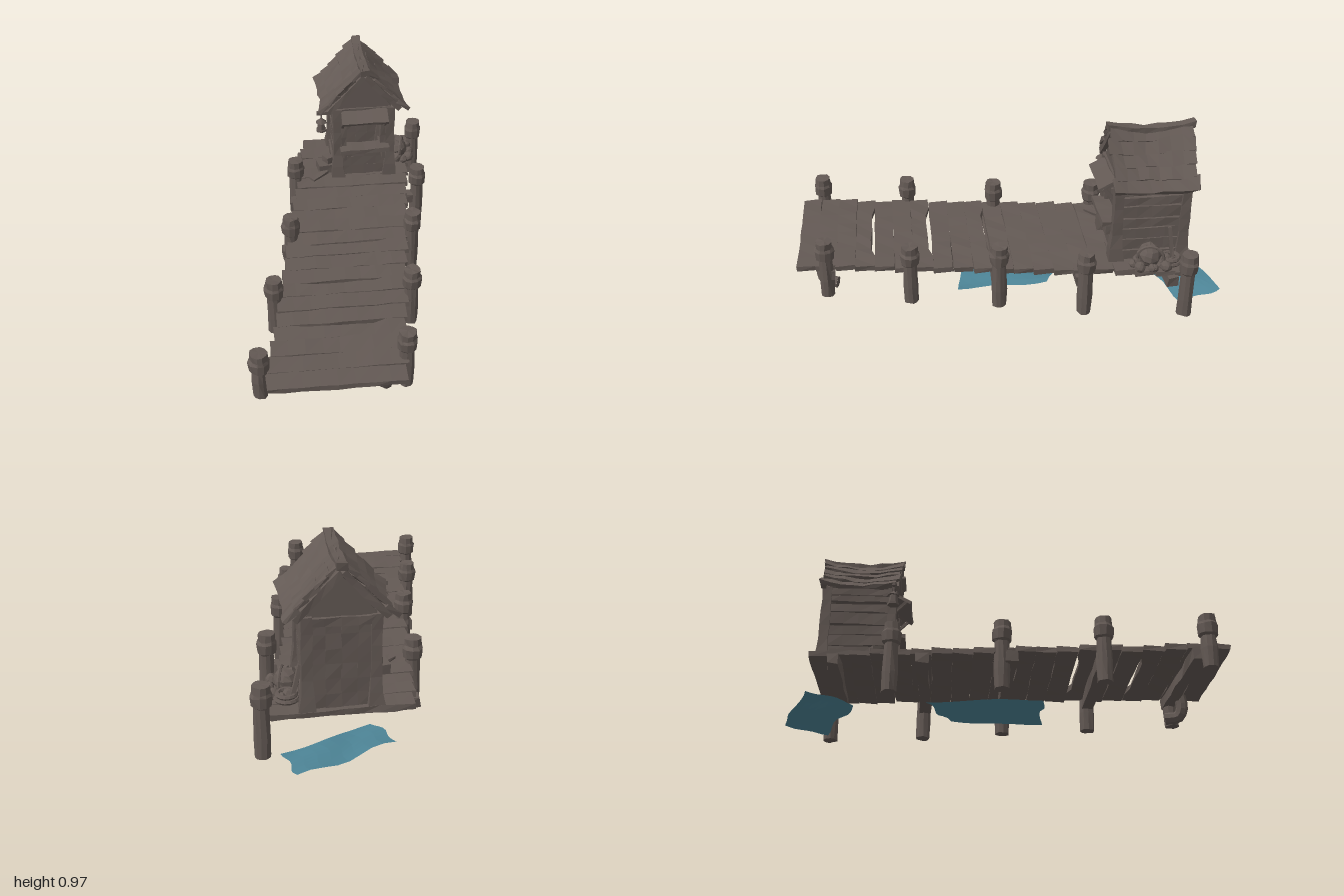
import * as THREE from 'three';

const wood = new THREE.MeshStandardMaterial({ color: 0x635954, flatShading: true });
wood.name = 'weathered wood';
const water = new THREE.MeshStandardMaterial({ color: 0x4d8496, flatShading: true, side: THREE.DoubleSide });
water.name = 'teal water';

const YAW = -0.44; // planks and hut share this heading
let seed = 1;
const hash = (x, y, z) => {
  const v = Math.sin(x * 127.1 + y * 311.7 + z * 74.7 + seed * 19.3) * 43758.5453;
  return v - Math.floor(v) - 0.5;
};
const rand = () => (seed++, hash(1, 2, 3));

// Move vertices by a rule; coincident corners stay together
function warp(geo, rule) {
  const p = geo.attributes.position;
  const v = new THREE.Vector3();
  for (let i = 0; i < p.count; i++) {
    rule(v.fromBufferAttribute(p, i));
    p.setXYZ(i, v.x, v.y, v.z);
  }
  geo.computeVertexNormals();
  return geo;
}
function rough(geo, amount) {
  seed++;
  return warp(geo, (v) => {
    const [x, y, z] = [v.x, v.y, v.z].map((n) => Math.round(n * 1000) / 1000 + 0);
    v.x += hash(x, y, z) * amount;
    v.y += hash(y + 3, z, x) * amount;
    v.z += hash(z + 7, x, y) * amount;
  });
}
function add(parent, name, geo, pos, rot = [0, 0, 0], mat = wood) {
  const m = new THREE.Mesh(geo, mat);
  m.name = name;
  m.position.set(...pos);
  m.rotation.set(...rot);
  parent.add(m);
  return m;
}
function board(parent, name, size, pos, rot, amount = 0.006) {
  const seg = size.map((s) => Math.max(1, Math.min(6, Math.round(s / 0.08))));
  return add(parent, name, rough(new THREE.BoxGeometry(...size, ...seg), amount), pos, rot);
}

// Point on the skewed deck: s runs front to back, t from right to left side
const deckPoint = (s, t) => [-0.62 + 1.2 * s + 0.6 * t, 0.855 - 1.715 * s + 0.285 * t];
const deckTop = (s) => 0.2 + 0.062 * s;

function buildDeck(root) {
  const deck = new THREE.Group();
  deck.name = 'deck';
  root.add(deck);
  const count = 20;
  for (let i = 0; i < count; i++) {
    const s = (i + 0.5) / count;
    const [x, z] = deckPoint(s, 0);
    const gap = [3, 6, 9].includes(i);
    const geo = rough(new THREE.BoxGeometry(0.665 + rand() * 0.03, 0.028, 0.104, 8, 1, 1), 0.007);
    if (gap) warp(geo, (v) => { if (v.z < 0 && Math.abs(v.x) < 0.2) v.z += 0.02; });
    add(deck, 'deckPlank', geo, [x, deckTop(s) - 0.014 + rand() * 0.008, z], [0.03, YAW + rand() * 0.02, rand() * 0.015]);
  }
  // Cross beams under the planks
  for (const s of [0.08, 0.29, 0.51, 0.72, 0.94]) {
    const [x, z] = deckPoint(s, 0);
    board(deck, 'crossBeam', [0.72, 0.055, 0.06], [x, deckTop(s) - 0.055, z], [0, YAW + rand() * 0.03, 0], 0.012);
  }
}

function buildPosts(root) {
  // x, z, bottom, top
  const posts = [
    [-0.89, 0.6, 0.065, 0.335], [-0.59, 0.2, 0.02, 0.355], [-0.27, -0.19, 0.02, 0.38], [0.03, -0.66, 0.02, 0.385],
    [-0.23, 0.87, 0.02, 0.355], [0.05, 0.51, 0.02, 0.36], [0.32, 0.13, 0.02, 0.385], [0.6, -0.22, 0.02, 0.385], [0.88, -0.66, 0.02, 0.385],
  ];
  for (const [x, z, low, high] of posts) {
    const profile = [[0, low], [0.038, low], [0.04, low + 0.1], [0.036, high - 0.11], [0.048, high - 0.1],
      [0.052, high - 0.05], [0.044, high - 0.035], [0.042, high], [0, high]];
    const geo = new THREE.LatheGeometry(profile.map(([r, y]) => new THREE.Vector2(r, y)), 10);
    add(root, 'mooringPost', rough(geo, 0.006), [x, 0, z]);
  }
  // Bent log under the front corner
  const bend = new THREE.CatmullRomCurve3([[-0.35, 0.15, 0.84], [-0.35, 0.08, 0.85], [-0.325, 0.04, 0.84], [-0.28, 0.035, 0.79]]
    .map((p) => new THREE.Vector3(...p)));
  add(root, 'bentLog', new THREE.TubeGeometry(bend, 8, 0.032, 8), [0, 0, 0]);
  for (const t of [0, 1]) {
    const end = add(root, 'bentLogEnd', new THREE.CircleGeometry(0.032, 8), bend.getPoint(t).toArray());
    const out = bend.getTangent(t).multiplyScalar(t ? 1 : -1);
    end.quaternion.setFromUnitVectors(new THREE.Vector3(0, 0, 1), out);
  }
}

function buildHut(root) {
  const hut = new THREE.Group();
  hut.name = 'hut';
  hut.position.set(0.485, 0.255, -0.665);
  hut.rotation.y = YAW;
  root.add(hut);

  // Flared corner posts, sills and top rails
  for (const x of [-0.155, 0.155]) {
    for (const z of [-0.175, 0.175]) {
      const geo = rough(new THREE.BoxGeometry(0.05, 0.46, 0.05, 1, 6, 1), 0.006);
      warp(geo, (v) => {
        const k = 1 + 0.6 * Math.max(0, -v.y - 0.08) / 0.15;
        v.x *= k; v.z *= k;
      });
      add(hut, 'cornerPost', geo, [x, 0.225, z]);
    }
    board(hut, 'sideSill', [0.045, 0.05, 0.33], [x, 0.025, 0]);
    board(hut, 'sideRail', [0.04, 0.04, 0.36], [x, 0.43, 0]);
    // Horizontal siding with a few open slits
    [[0.08, 0.065], [0.148, 0.06], [0.208, 0.05], [0.276, 0.065], [0.338, 0.045], [0.402, 0.05]].forEach(([y, h]) =>
      board(hut, 'sideBoard', [0.022, h, 0.31], [x, y, 0], [rand() * 0.05, 0, 0]));
  }
  // Vertical boards close the back
  for (let i = 0; i < 4; i++) {
    board(hut, 'backBoard', [0.075, 0.44, 0.02], [-0.108 + i * 0.072, 0.22, -0.178], [0, 0, rand() * 0.02]);
  }
  board(hut, 'backRail', [0.3, 0.04, 0.035], [0, 0.43, -0.182]);
  // Front: low wall, open hatch, counter and awning
  for (let i = 0; i < 3; i++) {
    board(hut, 'frontBoard', [0.29, 0.062, 0.022], [0, 0.032 + i * 0.06, 0.172], [0, 0, rand() * 0.03]);
  }
  for (const x of [-0.115, 0.115]) {
    board(hut, 'hatchJamb', [0.03, 0.24, 0.025], [x, 0.3, 0.176]);
    board(hut, 'awningBrace', [0.016, 0.11, 0.016], [x * 1.1, 0.365, 0.215], [0.75, 0, 0], 0.003);
    board(hut, 'counterBracket', [0.02, 0.06, 0.05], [x, 0.155, 0.2], [0, 0, 0], 0.004);
  }
  board(hut, 'counter', [0.29, 0.024, 0.09], [0, 0.195, 0.205], [0, 0, 0.02]);
  board(hut, 'frontRail', [0.31, 0.05, 0.035], [0, 0.43, 0.178]);
  board(hut, 'awning', [0.27, 0.018, 0.11], [0, 0.42, 0.225], [0.5, 0, 0]);

  // Gables
  const gable = new THREE.Shape([[-0.17, 0], [0.17, 0], [0, 0.215]].map(([x, y]) => new THREE.Vector2(x, y)));
  for (const z of [-0.185, 0.165]) {
    add(hut, 'gable', new THREE.ExtrudeGeometry(gable, { depth: 0.02, bevelEnabled: false }), [0, 0.44, z]);
  }

  // Sagging roof of overlapping boards
  const sag = (geo) => warp(geo, (v) => { v.y += 0.55 * v.z * v.z; });
  const pitch = 0.82;
  for (const side of [-1, 1]) {
    for (let i = 0; i < 5; i++) {
      const u = (i + 0.5) / 5;
      const geo = sag(rough(new THREE.BoxGeometry(0.082, 0.02, 0.42 + rand() * 0.04, 1, 1, 7), 0.013));
      add(hut, 'roofBoard', geo, [side * 0.232 * u, 0.675 - 0.248 * u, rand() * 0.012], [0, 0, -side * (pitch - 0.1)]);
    }
    for (const z of [-0.195, 0.195]) {
      board(hut, 'rafter', [0.3, 0.03, 0.025], [side * 0.105, 0.55, z], [0, 0, -side * pitch]);
    }
  }
  add(hut, 'ridgeBeam', sag(rough(new THREE.BoxGeometry(0.05, 0.036, 0.45, 1, 1, 7), 0.008)), [0, 0.665, 0]);

  // Lantern hanging from a bracket at the front corner
  const lantern = new THREE.Group();
  lantern.name = 'lantern';
  lantern.position.set(-0.25, 0, 0.185);
  hut.add(lantern);
  board(lantern, 'lanternArm', [0.13, 0.018, 0.018], [0.04, 0.435, 0], [0, 0, 0], 0.003);
  board(lantern, 'lanternHook', [0.008, 0.04, 0.008], [0, 0.412, 0], [0, 0, 0], 0);
  add(lantern, 'lanternCap', new THREE.ConeGeometry(0.034, 0.03, 6), [0, 0.39, 0]);
  add(lantern, 'lanternBody', new THREE.CylinderGeometry(0.02, 0.026, 0.05, 6), [0, 0.352, 0]);
  add(lantern, 'lanternBase', new THREE.CylinderGeometry(0.032, 0.032, 0.012, 6), [0, 0.325, 0]);

  // Small stacked crates at the front corner
  board(hut, 'crate', [0.09, 0.05, 0.09], [-0.225, 0.03, 0.12], [0, 0.2, 0]);
  board(hut, 'smallCrate', [0.05, 0.04, 0.06], [-0.205, 0.072, 0.11], [0, 0.5, 0]);
  board(hut, 'looseSlat', [0.12, 0.016, 0.04], [-0.27, 0.015, 0.2], [0, 0.7, 0]);

  // Net bundle, rope coil and floats beside the wall
  const pile = new THREE.Group();
  pile.name = 'netPile';
  pile.position.set(0.24, 0, 0);
  hut.add(pile);
  add(pile, 'netBundle', rough(new THREE.SphereGeometry(0.062, 10, 7), 0.012), [-0.01, 0.055, 0.01]);
  for (const [r, y] of [[0.05, 0.02], [0.042, 0.04]]) {
    add(pile, 'ropeCoil', new THREE.TorusGeometry(r, 0.012, 6, 14), [0.0, y, -0.1], [Math.PI / 2, 0, 0]);
  }
  for (let i = 0; i < 9; i++) {
    const a = i * 0.8;
    add(pile, 'float', rough(new THREE.IcosahedronGeometry(0.022 + 0.008 * (i % 2), 1), 0.006),
      [0.02 + 0.05 * Math.cos(a), 0.024, 0.1 * Math.sin(a)]);
  }
  add(pile, 'netHoop', new THREE.TorusGeometry(0.068, 0.009, 6, 16), [0.015, 0.05, 0.01], [0, 1.3, 0]);
  board(hut, 'leaningPole', [0.02, 0.19, 0.02], [0.2, 0.09, -0.11], [0.1, 0, 0.25], 0.004);
}

// Thin rippled sheet spread between four corners
function waterSheet(root, c) {
  const [a, b, d, e] = c.map((p) => new THREE.Vector3(...p));
  const geo = new THREE.PlaneGeometry(1, 1, 8, 8);
  warp(geo, (v) => {
    const u = v.x + 0.5, w = 0.5 - v.y;
    const top = a.clone().lerp(b, u), low = e.clone().lerp(d, u);
    v.copy(top.lerp(low, w));
    v.y += 0.008 * Math.sin(u * 9 + w * 3);
    v.x += 0.012 * Math.sin(w * 8);
    v.z += 0.012 * Math.sin(u * 8);
  });
  add(root, 'waterSheet', geo, [0, 0, 0], [0, 0, 0], water);
}

export function createModel() {
  seed = 1;
  const root = new THREE.Group();
  root.name = 'fishingPier';
  buildDeck(root);
  buildPosts(root);
  buildHut(root);
  waterSheet(root, [[0.36, 0.078, -0.98], [0.86, 0.055, -0.94], [0.8, 0.028, -0.71], [0.32, 0.035, -0.73]]);
  waterSheet(root, [[0.1, 0.03, -0.43], [0.3, 0.03, -0.2], [0.1, 0.035, 0.25], [-0.22, 0.03, 0.08]]);
  return root;
}
